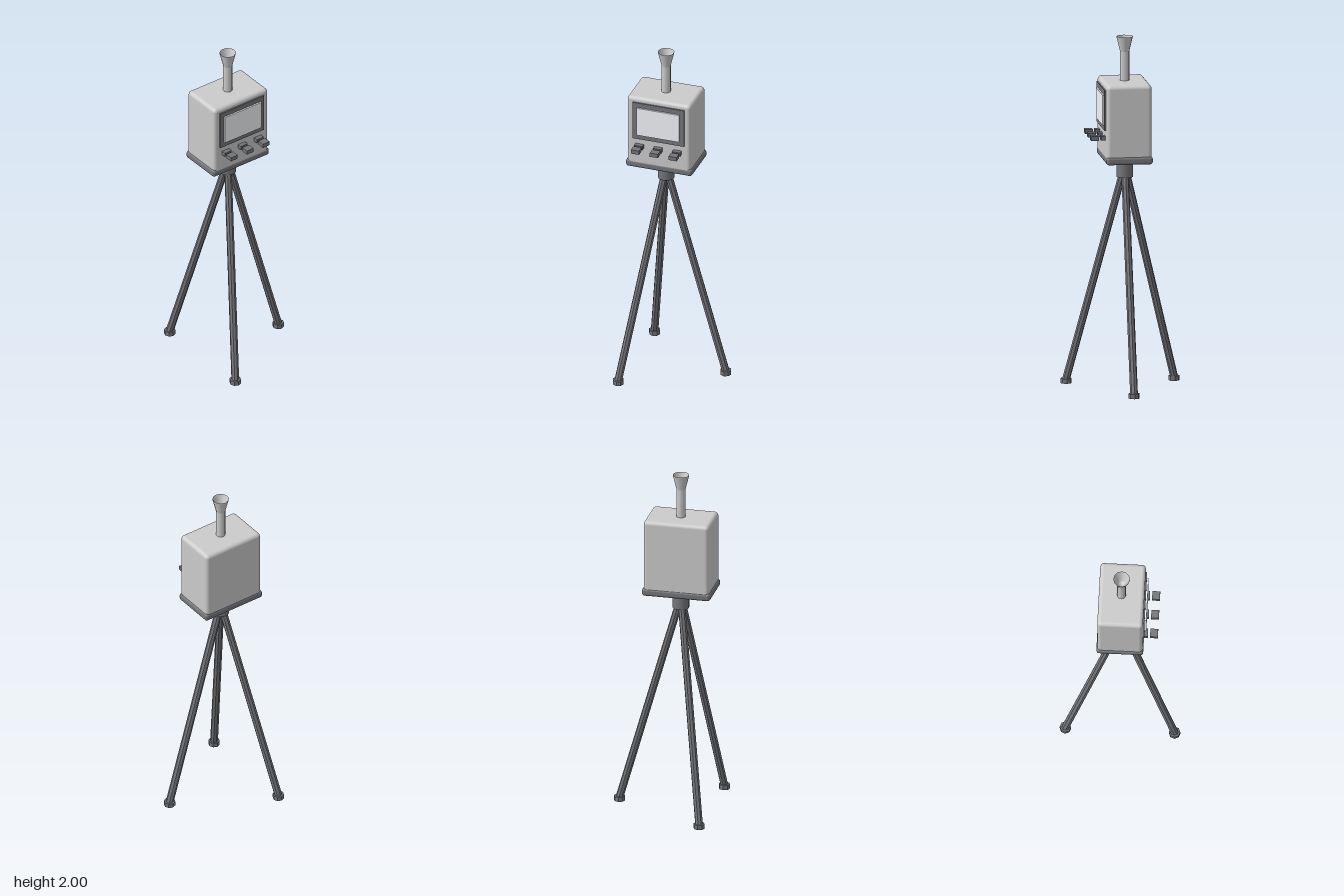
import * as THREE from 'three';
import { RoundedBoxGeometry } from 'three/addons/geometries/RoundedBoxGeometry.js';

const CX = -0.09; // axis of the instrument; the tripod reaches further on +x

export function createModel() {
  const root = new THREE.Group();
  const grey = new THREE.MeshStandardMaterial({ color: 0xcccccc });
  const pale = new THREE.MeshStandardMaterial({ color: 0xf4f6fa });
  const dark = new THREE.MeshStandardMaterial({ color: 0x74767b });
  const darkFlat = new THREE.MeshStandardMaterial({ color: 0x74767b, flatShading: true });
  const greyOpen = new THREE.MeshStandardMaterial({ color: 0xcccccc, side: THREE.DoubleSide });

  const add = (name, geometry, material, x, y, z, parent = root) => {
    const mesh = new THREE.Mesh(geometry, material);
    mesh.name = name;
    mesh.position.set(x, y, z);
    parent.add(mesh);
    return mesh;
  };

  // Housing on its base plate
  add('housing', new RoundedBoxGeometry(0.378, 0.44, 0.256, 4, 0.022), grey, CX, 1.53, 0);
  add('basePlate', new RoundedBoxGeometry(0.394, 0.045, 0.263, 3, 0.016), dark, CX, 1.322, -0.001);

  // Display: dark bezel ring around a raised pale screen
  const bezel = new THREE.Shape();
  bezel.moveTo(-0.153, -0.115).lineTo(0.153, -0.115).lineTo(0.153, 0.115).lineTo(-0.153, 0.115).closePath();
  const opening = new THREE.Path();
  opening.moveTo(-0.127, -0.086).lineTo(-0.127, 0.086).lineTo(0.127, 0.086).lineTo(0.127, -0.086).closePath();
  bezel.holes.push(opening);
  add('bezel', new THREE.ExtrudeGeometry(bezel, { depth: 0.014, bevelEnabled: false }), dark, CX, 1.605, 0.122);
  add('screen', new THREE.BoxGeometry(0.254, 0.172, 0.023), pale, CX, 1.605, 0.1335);

  // Row of push buttons, each a stem and a separate cap
  for (const offset of [-0.112, 0, 0.112]) {
    const button = new THREE.Group();
    button.name = 'button';
    button.position.set(CX + offset, 1.445, 0);
    add('buttonStem', new THREE.BoxGeometry(0.048, 0.024, 0.033), dark, 0, 0, 0.1375, button);
    add('buttonCap', new THREE.BoxGeometry(0.048, 0.024, 0.044), dark, 0, 0, 0.1885, button);
    root.add(button);
  }

  // Intake pipe with an open funnel
  add('intakePipe', new THREE.CylinderGeometry(0.026, 0.026, 0.18, 12, 1, true), grey, CX, 1.83, 0);
  add('funnel', new THREE.CylinderGeometry(0.047, 0.026, 0.085, 12, 1, true), grey, CX, 1.9575, 0);
  const bowl = [[0, 1.915], [0.012, 1.917], [0.022, 1.93], [0.044, 2], [0.047, 2]];
  add('funnelBowl', new THREE.LatheGeometry(bowl.map(([r, y]) => new THREE.Vector2(r, y)), 12),
    greyOpen, CX, 0, 0);

  // Neck and three splayed legs
  add('neck', new THREE.CylinderGeometry(0.047, 0.047, 0.11, 16), dark, CX, 1.255, 0);
  const up = new THREE.Vector3(0, 1, 0);
  for (let i = 0; i < 3; i++) {
    const angle = (i * Math.PI * 2) / 3;
    const at = (r, y) => new THREE.Vector3(CX + r * Math.cos(angle), y, r * Math.sin(angle));
    const top = at(0.012, 1.22);
    const bottom = at(0.354, 0.02);
    const along = top.clone().sub(bottom);
    const mid = top.clone().add(bottom).multiplyScalar(0.5);
    const leg = add('leg', new THREE.CylinderGeometry(0.021, 0.022, along.length(), 8), darkFlat, mid.x, mid.y, mid.z);
    leg.quaternion.setFromUnitVectors(up, along.normalize());
    add('foot', new THREE.CylinderGeometry(0.032, 0.032, 0.027, 8), darkFlat, bottom.x, 0.0135, bottom.z);
  }

  return root;
}
